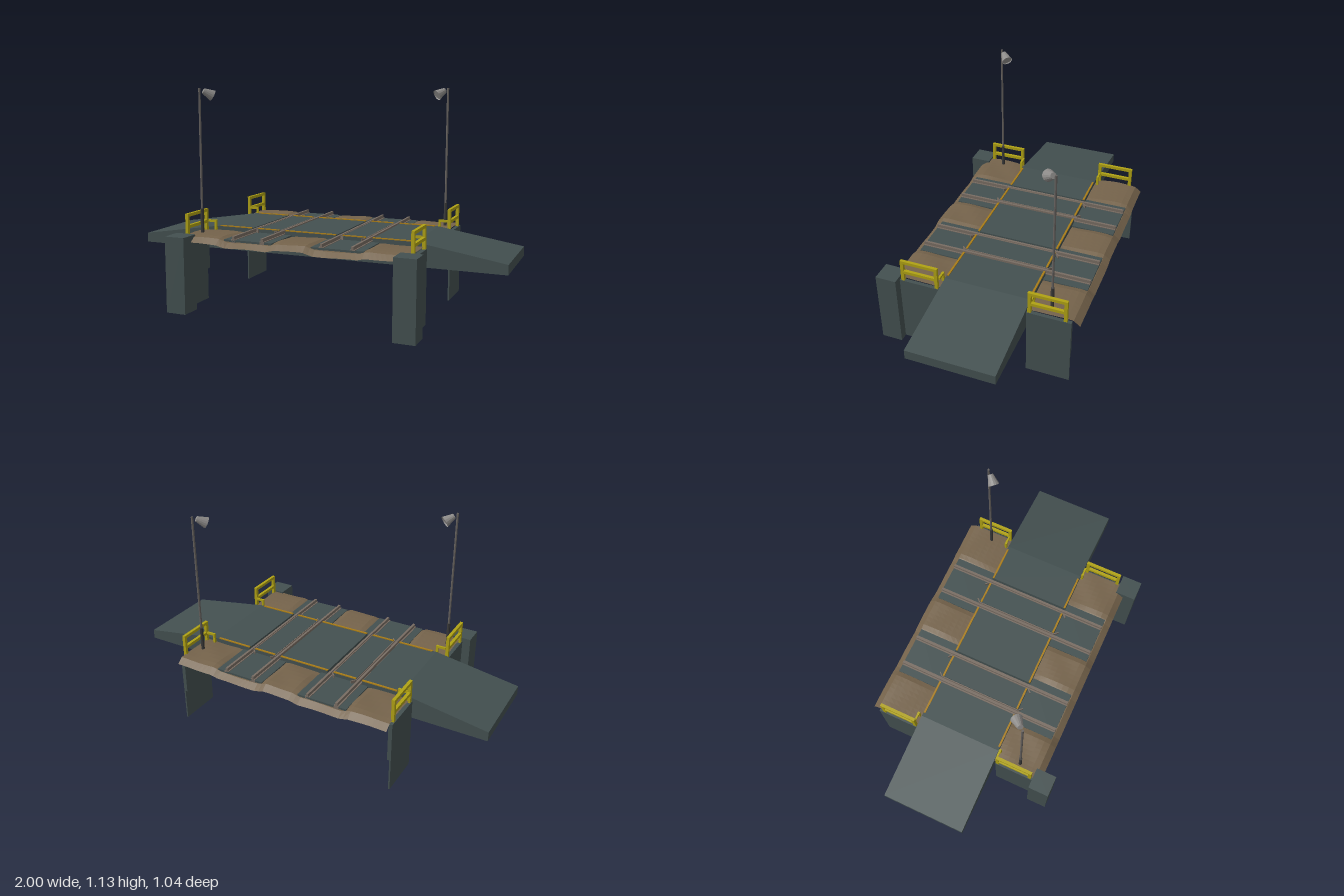
import * as THREE from 'three';

const mat = (name, color, side = THREE.FrontSide) => {
  const m = new THREE.MeshStandardMaterial({ color, side, flatShading: true });
  m.name = name;
  return m;
};

export function createModel() {
  const group = new THREE.Group();
  group.name = 'levelCrossing';
  const slate = mat('slate concrete', 0x435050, THREE.DoubleSide);
  const earth = mat('brown gravel', 0x75634b, THREE.DoubleSide);
  const yellow = mat('safety yellow', 0xb0a214);
  const line = mat('ochre edge line', 0xa87c18);
  const steel = mat('rusty rail steel', 0x786c62);
  const pole = mat('pole grey', 0x66625f);
  const dark = mat('dark grey', 0x3a3a3a);
  const lampGrey = mat('lamp grey', 0x8c8a88, THREE.DoubleSide);

  const add = (name, geo, m, x = 0, y = 0, z = 0, parent = group) => {
    const mesh = new THREE.Mesh(geo, m);
    mesh.name = name;
    mesh.position.set(x, y, z);
    parent.add(mesh);
    return mesh;
  };
  // box given by its two corners
  const box = (name, m, x0, x1, y0, y1, z0, z1, parent = group) =>
    add(name, new THREE.BoxGeometry(Math.abs(x1 - x0), y1 - y0, Math.abs(z1 - z0)), m,
      (x0 + x1) / 2, (y0 + y1) / 2, (z0 + z1) / 2, parent);

  const railX = [-0.322, -0.162, 0.155, 0.315];
  const zBack = -0.26, zFront = 0.19, top = 0.402, groove = 0.355, half = 0.018;

  // Road deck: a shell with ramps and rail grooves, open underneath
  const profile = [[-1, 0.28], [-1, 0.33], [-0.55, top]];
  for (const x of railX) {
    profile.push([x - half, top], [x - half, groove], [x + half, groove], [x + half, top]);
  }
  profile.push([0.55, top], [1, 0.33], [1, 0.28]);
  const pos = [], index = [];
  profile.forEach(([x, y], i) => {
    pos.push(x, y, zFront, x, y, zBack);
    if (i) {
      const a = 2 * (i - 1);
      index.push(a, a + 2, a + 1, a + 1, a + 2, a + 3);
    }
  });
  const deck = new THREE.BufferGeometry();
  deck.setAttribute('position', new THREE.Float32BufferAttribute(pos, 3));
  deck.setIndex(index);
  const deckGeo = deck.toNonIndexed();
  deckGeo.computeVertexNormals();
  add('roadDeck', deckGeo, slate);
  const side = new THREE.ShapeGeometry(new THREE.Shape(profile.map(([x, y]) => new THREE.Vector2(x, y))));
  add('deckFrontSide', side, slate, 0, 0, zFront);
  add('deckBackSide', side.clone().rotateY(Math.PI), slate, 0, 0, zBack).scale.x = -1;

  // Ochre lines along the deck edges, broken at the grooves
  const stops = [-0.53, ...railX.flatMap(x => [x - half, x + half]), 0.53];
  for (const z of [zBack + 0.006, zFront - 0.006]) {
    for (let i = 0; i < stops.length; i += 2) {
      box('edgeLine', line, stops[i], stops[i + 1], top, top + 0.005, z - 0.005, z + 0.005);
    }
  }

  // Gravel banks: gently waved, lower under the tracks, drooping at the outer edge
  const bank = (name, zIn, zOut) => {
    const geo = new THREE.PlaneGeometry(1.205, 1, 48, 8);
    const p = geo.attributes.position;
    for (let i = 0; i < p.count; i++) {
      const x = p.getX(i), t = p.getY(i) + 0.5;
      const d = Math.min(Math.abs(x + 0.24), Math.abs(x - 0.235));
      const bed = THREE.MathUtils.smoothstep(d, 0.115, 0.16);
      let y = 0.374 + 0.016 * bed * Math.sin(Math.PI * (0.15 + t * 0.6)) + 0.002 * Math.sin(x * 23 + t * 7);
      if (t > 0.86) y -= 0.026 * (t - 0.86) / 0.14;
      p.setXYZ(i, x, y, zIn + (zOut - zIn) * t);
    }
    geo.computeVertexNormals();
    add(name, geo, earth);
  };
  bank('backBank', zBack, -0.525);
  bank('frontBank', zFront, 0.455);

  // Track panels on the banks
  for (const [x0, x1] of [[-0.375, -0.107], [0.102, 0.37]]) {
    box('backTrackPanel', slate, x0, x1, 0.374, 0.384, -0.49, zBack);
    box('frontTrackPanel', slate, x0, x1, 0.374, 0.384, zFront, 0.417);
  }

  // Rails, with flared guard bars where they enter the deck
  railX.forEach((x, i) => {
    const inner = i % 2 ? -1 : 1;
    box('railFoot', steel, x - 0.013, x + 0.013, 0.366, 0.387, -0.49, 0.417);
    box('railHead', steel, x - 0.006, x + 0.006, 0.387, 0.403, -0.49, 0.417);
    box('guardBar', steel, x + inner * 0.011, x + inner * 0.016, 0.385, 0.403, zBack, zFront);
    for (const [z, s] of [[zBack, -1], [zFront, 1]]) {
      const flare = add('guardFlare', new THREE.BoxGeometry(0.005, 0.016, 0.03), steel,
        x + inner * 0.022, 0.394, z + s * 0.01);
      flare.rotation.y = inner * s * 0.75;
    }
  });

  // Front pillars, hollow and open at the bottom
  const open = new THREE.BoxGeometry(0.11, 0.395, 0.11);
  const faces = Array.from(open.index.array);
  faces.splice(18, 6);
  open.setIndex(faces);
  open.clearGroups();

  for (const s of [-1, 1]) {
    add('pillar', open, slate, s * 0.603, 0.1975, 0.465);
    for (const [z0, z1, zGate0, zGate1, zPost] of [
      [-0.485, -0.26, -0.463, -0.265, -0.275], [0.2, 0.417, 0.202, 0.402, 0.2]]) {
      // Side wall with a thicker upper part
      box('sideWall', slate, s * 0.606, s * 0.614, 0, 0.375, z0, z1);
      box('wallBeam', slate, s * 0.594, s * 0.606, 0.17, 0.375, z0, z1);

      // Yellow safety gate
      const gate = new THREE.Group();
      gate.name = 'safetyGate';
      group.add(gate);
      const a = s * 0.595, b = s * 0.611;
      box('gatePost', yellow, a, b, 0.375, 0.48, zGate0, zGate0 + 0.017, gate);
      box('gatePost', yellow, a, b, 0.375, 0.48, zGate1 - 0.017, zGate1, gate);
      box('gateTopRail', yellow, a, b, 0.48, 0.496, zGate0, zGate1, gate);
      box('gateMiddleRail', yellow, a, b, 0.42, 0.436, zGate0 + 0.017, zGate1 - 0.017, gate);
      box('shortPost', yellow, s * 0.544, s * 0.556, 0.37, 0.436, zPost - 0.006, zPost + 0.006, gate);
      box('shortRail', yellow, s * 0.556, s * 0.595, 0.424, 0.436, zPost - 0.005, zPost + 0.005, gate);
    }
  }

  // Lamp posts, heads tilted towards the crossing
  const lamp = (x, z, dx, dz) => {
    const g = new THREE.Group();
    g.name = 'lampPost';
    g.position.set(x, 0, z);
    group.add(g);
    add('lampPole', new THREE.CylinderGeometry(0.006, 0.006, 0.76, 8), pole, 0, 0.755, 0, g);
    add('lampBase', new THREE.CylinderGeometry(0.009, 0.009, 0.14, 8), dark, 0, 0.445, 0, g);
    const dir = new THREE.Vector3(dx, -0.75, dz).normalize();
    const head = new THREE.Group();
    head.name = 'lampHead';
    head.position.set(dx * 0.03, 1.109, dz * 0.033);
    head.quaternion.setFromUnitVectors(new THREE.Vector3(0, -1, 0), dir);
    g.add(head);
    add('lampShade', new THREE.CylinderGeometry(0.014, 0.029, 0.055, 14, 1, true), lampGrey, 0, 0, 0, head);
    add('lampCap', new THREE.CircleGeometry(0.014, 14).rotateX(-Math.PI / 2), lampGrey, 0, 0.0275, 0, head);
    add('lampGlass', new THREE.CircleGeometry(0.027, 14).rotateX(Math.PI / 2), lampGrey, 0, -0.022, 0, head);
  };
  lamp(-0.56, 0.32, 1, -1);
  lamp(0.556, -0.37, -1, 1);

  return group;
}
